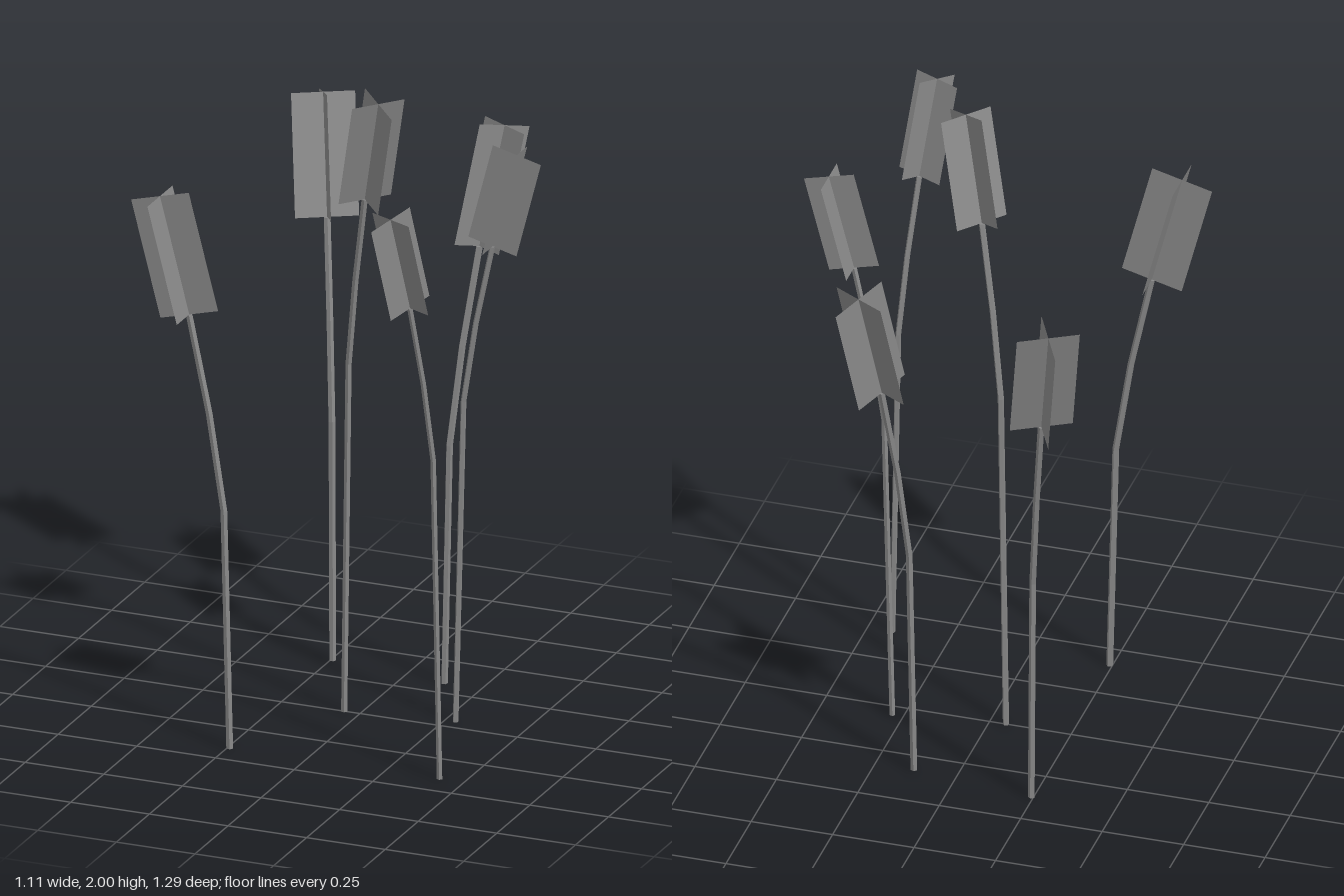
import * as THREE from 'three';

const TILT = 0.255; // lean of the seed head

// x, z of the foot, bend direction in degrees (0 = +x, 90 = +z), size, height of the head's top centre
const REEDS = [
  [0.284, -0.047, 0, 1.0, 1.807],
  [-0.242, 0.41, 180, 1.2, 1.7],
  [-0.05, 0, 39.5, 1.1, 1.978],
  [0.131, -0.326, -60, 1.2, 1.7],
  [-0.244, -0.373, -120, 1.2, 1.7],
  [0.423, 0.404, 115, 1.0, 1.805],
];

const grey = new THREE.MeshStandardMaterial({ color: 0x888888, flatShading: true });
const greyDouble = new THREE.MeshStandardMaterial({ color: 0x888888, side: THREE.DoubleSide });

// Five-sided stem whose rings shift towards +x as they rise
function makeStem(size, rings) {
  const r = 0.0088 * size;
  const geo = new THREE.CylinderGeometry(r, r, 3, 5, 3, false, -Math.PI / 2);
  const pos = geo.attributes.position;
  for (let i = 0; i < pos.count; i++) {
    const [dx, y] = rings[Math.round(pos.getY(i) + 1.5)];
    pos.setX(i, pos.getX(i) + dx);
    pos.setY(i, y);
  }
  geo.computeVertexNormals();
  const stem = new THREE.Mesh(geo, grey);
  stem.name = 'stem';
  return stem;
}

// Seed head: two upright cards crossed on the tilted axis
function makeHead(size, length) {
  const head = new THREE.Group();
  head.name = 'seedHead';
  for (const turn of [0, Math.PI / 2]) {
    const geo = new THREE.PlaneGeometry(0.158 * size, length);
    geo.translate(0, length / 2, 0);
    const card = new THREE.Mesh(geo, greyDouble);
    card.rotation.y = turn;
    card.name = 'seedHeadCard';
    head.add(card);
  }
  head.rotation.z = -TILT;
  return head;
}

export function createModel() {
  const model = new THREE.Group();
  model.name = 'reeds';
  for (const [x, z, bend, size, top] of REEDS) {
    const length = 0.308 * size;
    const headBase = top - length * Math.cos(TILT);
    // Long, nearly straight shaft, then two equal steps of growing lean
    const shaft = headBase - 0.5 * size;
    const lean = 0.025 * shaft;
    const rings = [
      [0, 0],
      [lean, shaft],
      [lean + 0.039 * size, shaft + 0.25 * size],
      [lean + 0.092 * size, headBase],
    ];
    const reed = new THREE.Group();
    reed.name = 'reed';
    const head = makeHead(size, length);
    head.position.set(rings[3][0], headBase, 0);
    reed.add(makeStem(size, rings), head);
    reed.position.set(x, 0, z);
    reed.rotation.y = -THREE.MathUtils.degToRad(bend);
    model.add(reed);
  }
  return model;
}
